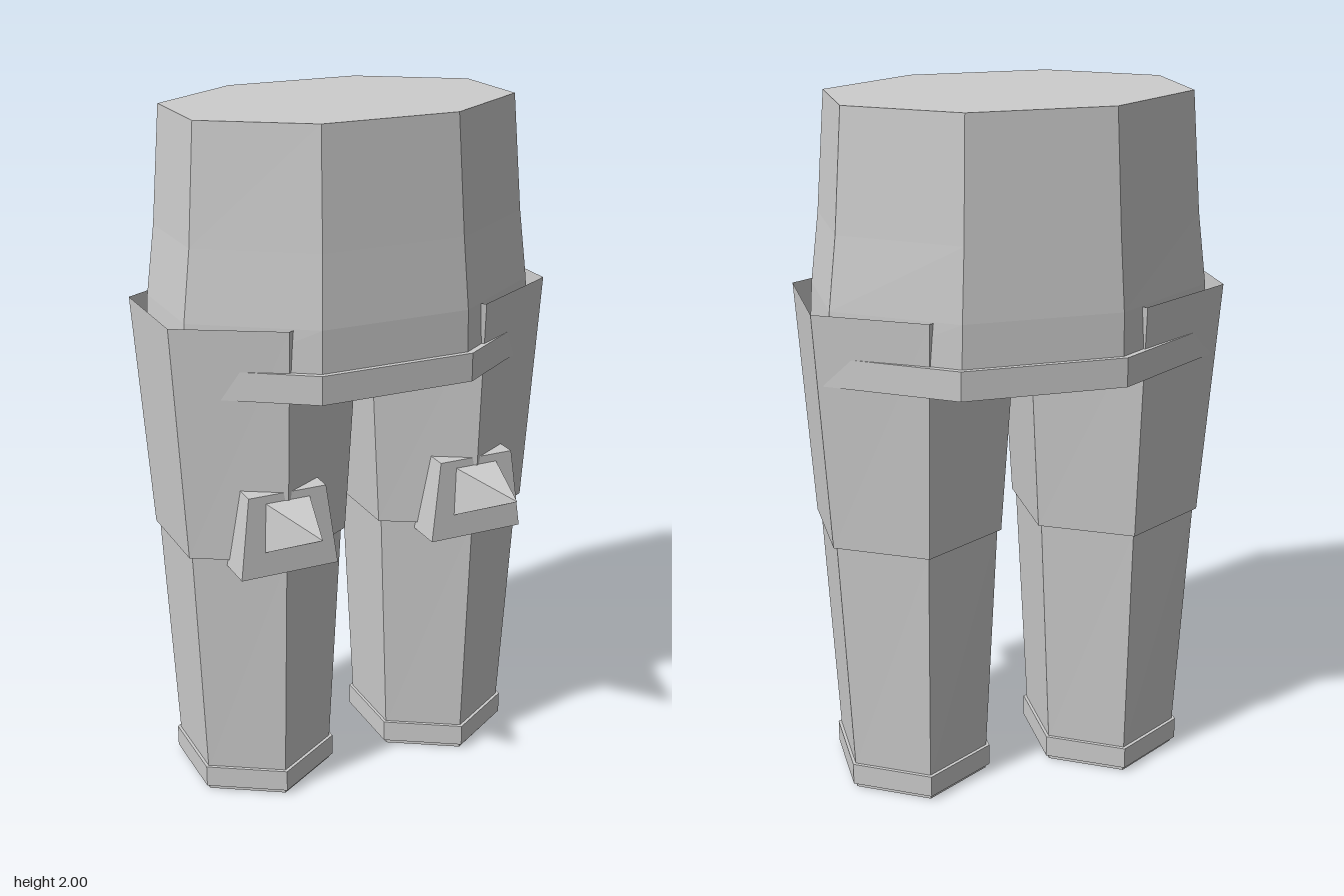
import * as THREE from 'three';

// Flat-faced loft through rings of [x, y, z] points (counter-clockwise seen from the last ring)
function loft(rings, capStart = true, capEnd = true) {
  const pos = [];
  const tri = (a, b, c) => pos.push(...a, ...b, ...c);
  const n = rings[0].length;
  for (let r = 0; r < rings.length - 1; r++) {
    const lo = rings[r], hi = rings[r + 1];
    for (let i = 0; i < n; i++) {
      const j = (i + 1) % n;
      tri(lo[i], lo[j], hi[j]);
      tri(lo[i], hi[j], hi[i]);
    }
  }
  const first = rings[0], last = rings[rings.length - 1];
  for (let i = 1; i < n - 1; i++) {
    if (capStart) tri(first[0], first[i + 1], first[i]);
    if (capEnd) tri(last[0], last[i], last[i + 1]);
  }
  const g = new THREE.BufferGeometry();
  g.setAttribute('position', new THREE.Float32BufferAttribute(pos, 3));
  g.computeVertexNormals();
  return g;
}

// Hexagon with points to front and back: half width w, half depth d
function hex(y, w, d, zc = -0.075) {
  return [[0, d], [w, d / 2], [w, -d / 2], [0, -d], [-w, -d / 2], [-w, d / 2]]
    .map(([x, z]) => [x, y, z + zc]);
}

// Octagon: half width w, half flat f, front and back z, side panel from sf to sb
function oct(y, w, f, front, back, sf, sb) {
  return [[-f, front], [f, front], [w, sf], [w, sb], [f, back], [-f, back], [-w, sb], [-w, sf]]
    .map(([x, z]) => [x, y, z]);
}

// Rectangle in a level plane
function rect(y, w, front, back) {
  return [[-w, y, front], [w, y, front], [w, y, back], [-w, y, back]];
}

export function createModel() {
  const model = new THREE.Group();
  model.name = 'armouredLegs';
  const grey = new THREE.MeshStandardMaterial({ color: 0xcccccc, flatShading: true, side: THREE.DoubleSide });
  grey.name = 'plainGrey';

  const add = (parent, name, geometry) => {
    const mesh = new THREE.Mesh(geometry, grey);
    mesh.name = name;
    parent.add(mesh);
  };

  // Waist block and the belt round its lower edge
  add(model, 'waist', loft([
    oct(1.3, 0.535, 0.22, 0.285, -0.437, 0.075, -0.23),
    oct(1.47, 0.524, 0.217, 0.284, -0.435, 0.073, -0.228),
    oct(1.67, 0.5, 0.208, 0.267, -0.422, 0.067, -0.22),
    oct(2, 0.475, 0.198, 0.242, -0.4, 0.056, -0.212),
  ]));
  add(model, 'belt', loft([
    oct(1.268, 0.55, 0.226, 0.3, -0.45, 0.08, -0.237),
    oct(1.35, 0.55, 0.226, 0.3, -0.45, 0.08, -0.237),
  ]));

  for (const side of [1, -1]) {
    const leg = new THREE.Group();
    leg.name = side > 0 ? 'leftLeg' : 'rightLeg';
    leg.position.x = side * 0.295;
    model.add(leg);

    // Thigh is an open cuff at the top
    add(leg, 'thigh', loft([hex(0.785, 0.24, 0.283, -0.07), hex(1.467, 0.28, 0.323)], true, false));
    add(leg, 'shin', loft([hex(0.07, 0.197, 0.241), hex(0.79, 0.23, 0.274, -0.07)]));
    add(leg, 'ankleBand', loft([hex(0.015, 0.206, 0.253), hex(0.08, 0.206, 0.253)]));
    add(leg, 'sole', loft([hex(0, 0.195, 0.24), hex(0.015, 0.195, 0.24)]));

    // Knee plate with a pointed spike
    add(leg, 'kneePlate', loft([rect(0.763, 0.145, 0.228, 0.115), rect(1.0, 0.115, 0.217, 0.155)]));
    const tip = [0, 0.952, 0.45];
    add(leg, 'kneeSpike', loft([
      [[-0.073, 0.833, 0.223], [0.073, 0.833, 0.223], [0.066, 0.977, 0.215], [-0.066, 0.977, 0.215]],
      [tip, tip, tip, tip],
    ], true, false));
  }
  return model;
}
